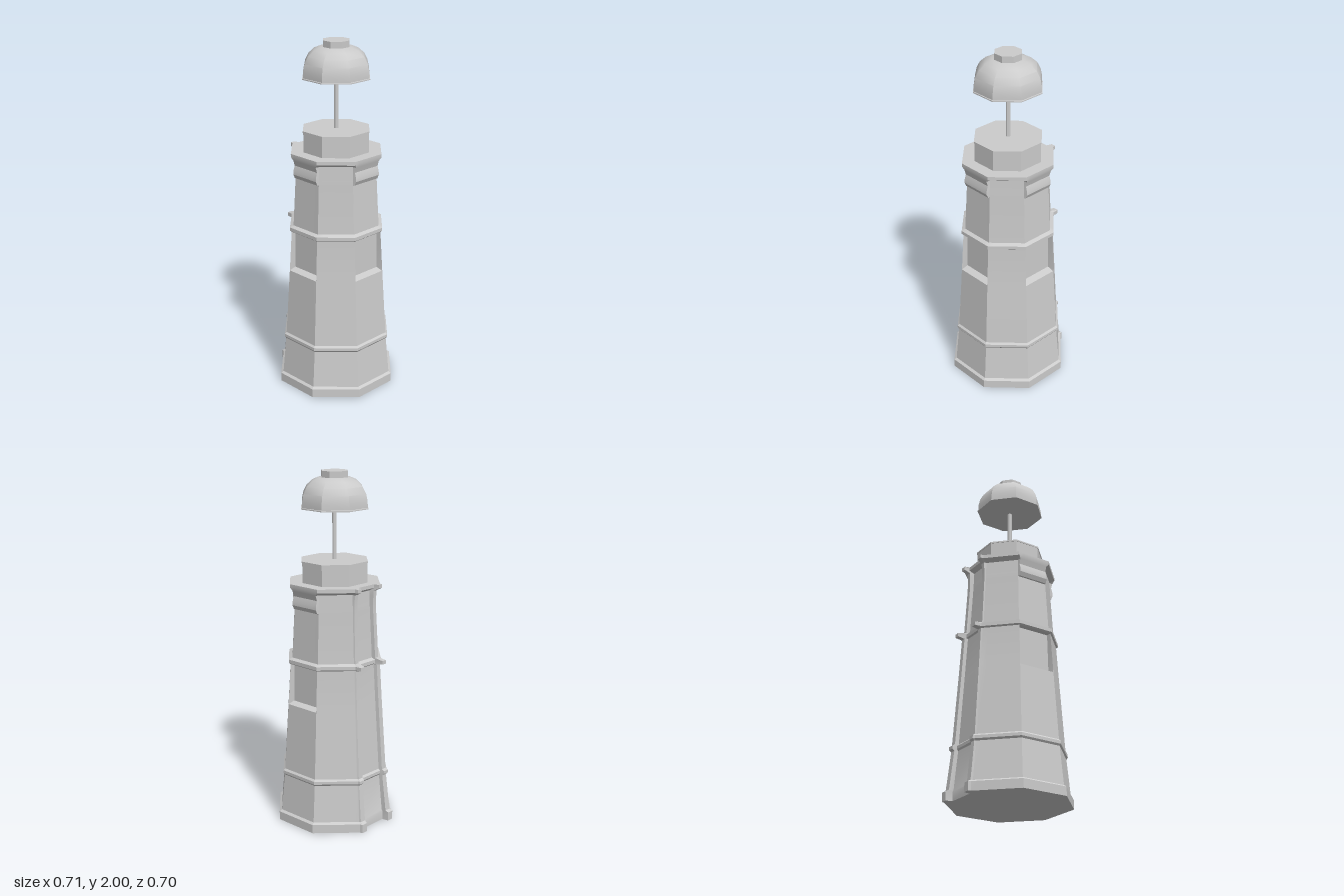
import * as THREE from 'three';
import { toCreasedNormals } from 'three/addons/utils/BufferGeometryUtils.js';

const material = new THREE.MeshStandardMaterial({ color: 0xcccccc, side: THREE.DoubleSide });
const SIDES = 8;
const WINDOW_FACES = [0, 2, 6];
const CHUTE_FACE = 4;

// Tower rows: height, corner radius, window/corbel offset, pilaster offset, chute floor offset
const ROWS = [
  [0, 0.35, 0, 0.016, -0.022],
  [0.05, 0.35, 0, 0.016, -0.022],
  [0.06, 0.335, 0, 0.012, -0.012],
  [0.275, 0.314, 0, 0.008, -0.012],
  [0.285, 0.322, 0, 0.012, -0.012],
  [0.302, 0.322, 0, 0.012, -0.012],
  [0.312, 0.311, 0, 0.008, -0.012],
  [0.7, 0.285, 0, 0.007, -0.012],
  [0.712, 0.284, -0.04, 0.007, -0.012],
  [0.934, 0.27, -0.027, 0.007, -0.012],
  [0.935, 0.27, 0, 0.007, -0.012],
  [0.942, 0.28, 0, 0.038, -0.012],
  [0.962, 0.28, 0, 0.038, -0.012],
  [0.972, 0.258, 0, 0.008, -0.012],
  [1.25, 0.242, 0, 0.008, -0.012],
  [1.252, 0.242, 0.008, 0.008, -0.012],
  [1.275, 0.241, 0.02, 0.009, -0.012],
  [1.295, 0.24, 0.02, 0.01, -0.012],
  [1.325, 0.239, 0.012, 0.012, -0.012],
  [1.355, 0.238, 0.022, 0.015, -0.012],
  [1.372, 0.268, 0, 0.018, -0.012],
  [1.392, 0.268, 0, 0.018, -0.012],
];

// One horizontal outline: an octagon whose faces may be recessed or thickened
function section([y, radius, opening, pilaster, chute]) {
  const apothem = radius * Math.cos(Math.PI / SIDES);
  const half = radius * Math.sin(Math.PI / SIDES);
  const points = [];
  for (let k = 0; k < SIDES; k++) {
    const angle = (k + 0.5) * Math.PI * 2 / SIDES;
    const c = Math.cos(angle), s = Math.sin(angle);
    let a = 0, b = 0;
    if (WINDOW_FACES.includes(k)) a = b = opening;
    if (k === CHUTE_FACE) { a = pilaster; b = chute; }
    const steps = [[-1, 0], [-0.97, a], [-0.7, a], [-0.65, b], [0.65, b], [0.7, a], [0.97, a]];
    for (const [t, offset] of steps) {
      const n = apothem + offset, w = t * half;
      points.push(new THREE.Vector3(c * n - s * w, y, s * n + c * w));
    }
  }
  return points;
}

// Skin a stack of outlines and close both ends
function loft(sections) {
  const count = sections[0].length, last = sections.length - 1;
  const positions = [];
  const tri = (...corners) => corners.forEach(p => positions.push(p.x, p.y, p.z));
  for (let i = 0; i < last; i++) {
    for (let j = 0; j < count; j++) {
      const k = (j + 1) % count;
      const low = sections[i], high = sections[i + 1];
      tri(low[j], high[j], low[k]);
      tri(low[k], high[j], high[k]);
    }
  }
  const bottom = new THREE.Vector3(0, sections[0][0].y, 0);
  const top = new THREE.Vector3(0, sections[last][0].y, 0);
  for (let j = 0; j < count; j++) {
    const k = (j + 1) % count;
    tri(bottom, sections[0][j], sections[0][k]);
    tri(top, sections[last][k], sections[last][j]);
  }
  const geometry = new THREE.BufferGeometry();
  geometry.setAttribute('position', new THREE.Float32BufferAttribute(positions, 3));
  return toCreasedNormals(geometry, 0.4);
}

export function createModel() {
  const group = new THREE.Group();
  const add = (name, geometry, y = 0) => {
    const mesh = new THREE.Mesh(geometry, material);
    mesh.name = name;
    mesh.position.y = y;
    group.add(mesh);
  };
  const prism = (radius, bottom, top, name) => add(
    name,
    toCreasedNormals(new THREE.CylinderGeometry(radius, radius, top - bottom, SIDES), 0.4),
    (bottom + top) / 2
  );

  // Tapered tower with mouldings, windows, corbels, gallery and chute
  add('tower', loft(ROWS.map(section)));

  // Lantern base and its central post
  prism(0.194, 1.39, 1.505, 'lanternBase');
  prism(0.197, 1.503, 1.512, 'lanternBaseLip');
  prism(0.013, 1.51, 1.81, 'lanternPost');

  // Faceted dome, closed underneath
  const dome = [
    [0, 1.797], [0.197, 1.797], [0.197, 1.803], [0.193, 1.805], [0.192, 1.84],
    [0.183, 1.88], [0.163, 1.917], [0.13, 1.947], [0.09, 1.964], [0, 1.967],
  ].map(([r, y]) => new THREE.Vector2(r, y));
  add('dome', toCreasedNormals(new THREE.LatheGeometry(dome, SIDES), 0.7));
  prism(0.077, 1.96, 2, 'finial');

  return group;
}
